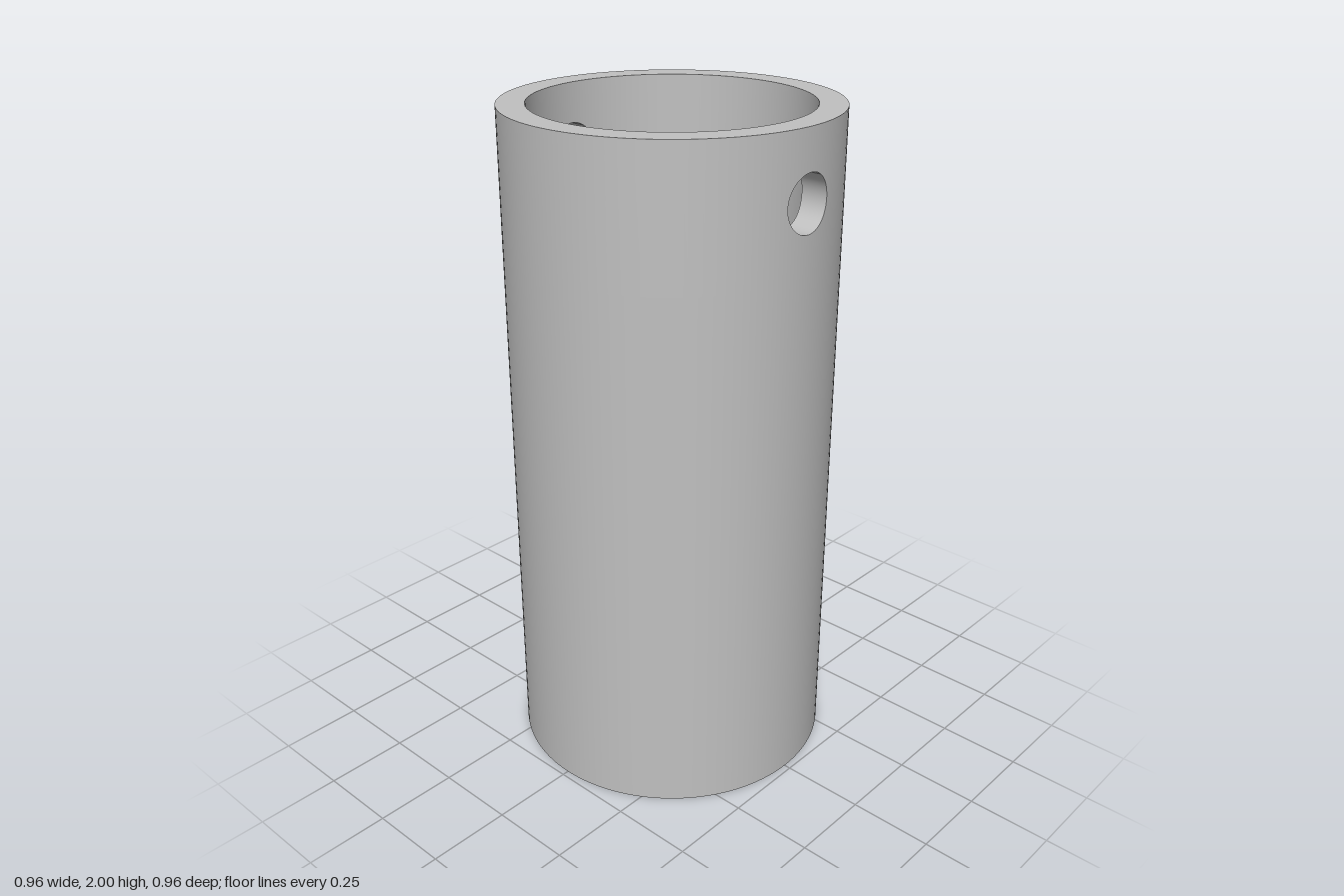
import * as THREE from 'three';
import { ParametricGeometry } from 'three/addons/geometries/ParametricGeometry.js';

const OUTER = 0.48, INNER = 0.4, HEIGHT = 2, FLOOR = 0.08;
const HOLE_R = 0.082, HOLE_Y = 1.8;
const BAND_Y = 1.6;              // the drilled band runs from here to the rim
const PATCH = Math.PI / 8;       // half angle of the wall patch around each hole
const SEGMENTS = 128;

// Point on the unit square's outline, counter-clockwise from the lower right corner
function squarePoint(u) {
  const side = Math.min(3, Math.floor(u * 4));
  const t = (u * 4 - side) * 2 - 1;
  return [[1, t], [-t, 1], [-1, -t], [t, -1]][side];
}

// Point on a wall of the given radius; k = 0 on the hole's edge, 1 on the patch's edge
function patchPoint(u, k, radius, target) {
  const [sx, sy] = squarePoint(u);
  const a = Math.atan2(sy, sx);
  const theta = THREE.MathUtils.lerp(Math.asin(HOLE_R * Math.cos(a) / radius), sx * PATCH, k);
  const y = HOLE_Y + THREE.MathUtils.lerp(HOLE_R * Math.sin(a), sy * (HEIGHT - HOLE_Y), k);
  return target.set(radius * Math.sin(theta), y, radius * Math.cos(theta));
}

export function createModel() {
  const model = new THREE.Group();
  model.name = 'drilledCup';
  const grey = new THREE.MeshStandardMaterial({ color: 0xc0c0c0 });
  grey.name = 'grey';

  const add = (parent, name, geometry) => {
    const mesh = new THREE.Mesh(geometry, grey);
    mesh.name = name;
    parent.add(mesh);
  };
  const turned = (points, segments = SEGMENTS, start = 0, length = Math.PI * 2) =>
    new THREE.LatheGeometry(points.map(([x, y]) => new THREE.Vector2(x, y)), segments, start, length);

  // Closed cup body, each smooth face turned on its own for crisp edges
  add(model, 'base', turned([[0, 0], [OUTER, 0]]));
  add(model, 'outerWall', turned([[OUTER, 0], [OUTER, BAND_Y]]));
  add(model, 'rim', turned([[OUTER, HEIGHT], [INNER, HEIGHT]]));
  add(model, 'innerWall', turned([[INNER, BAND_Y], [INNER, FLOOR]]));
  add(model, 'floor', turned([[INNER, FLOOR], [0, FLOOR]]));

  // Front and back halves of the drilled band
  const sideSegments = Math.round(SEGMENTS * 3 / 8);
  const loop = SEGMENTS / 2;
  for (const [name, angle] of [['frontBand', 0], ['backBand', Math.PI]]) {
    const band = new THREE.Group();
    band.name = name;
    band.rotation.y = angle;
    model.add(band);

    add(band, 'outerBand', turned([[OUTER, BAND_Y], [OUTER, HEIGHT]], sideSegments, PATCH, Math.PI - 2 * PATCH));
    add(band, 'innerBand', turned([[INNER, HEIGHT], [INNER, BAND_Y]], sideSegments, PATCH, Math.PI - 2 * PATCH));

    // Wall around the hole, outside and inside
    add(band, 'outerHolePatch', new ParametricGeometry(
      (u, v, p) => patchPoint(1 - u, v, OUTER, p), loop, 6));
    add(band, 'innerHolePatch', new ParametricGeometry(
      (u, v, p) => patchPoint(u, v, INNER, p), loop, 6));

    // Bore through the wall
    const inner = new THREE.Vector3();
    add(band, 'holeBore', new ParametricGeometry(
      (u, v, p) => patchPoint(u, 0, OUTER, p).lerp(patchPoint(u, 0, INNER, inner), v), loop, 1));
  }
  return model;
}
